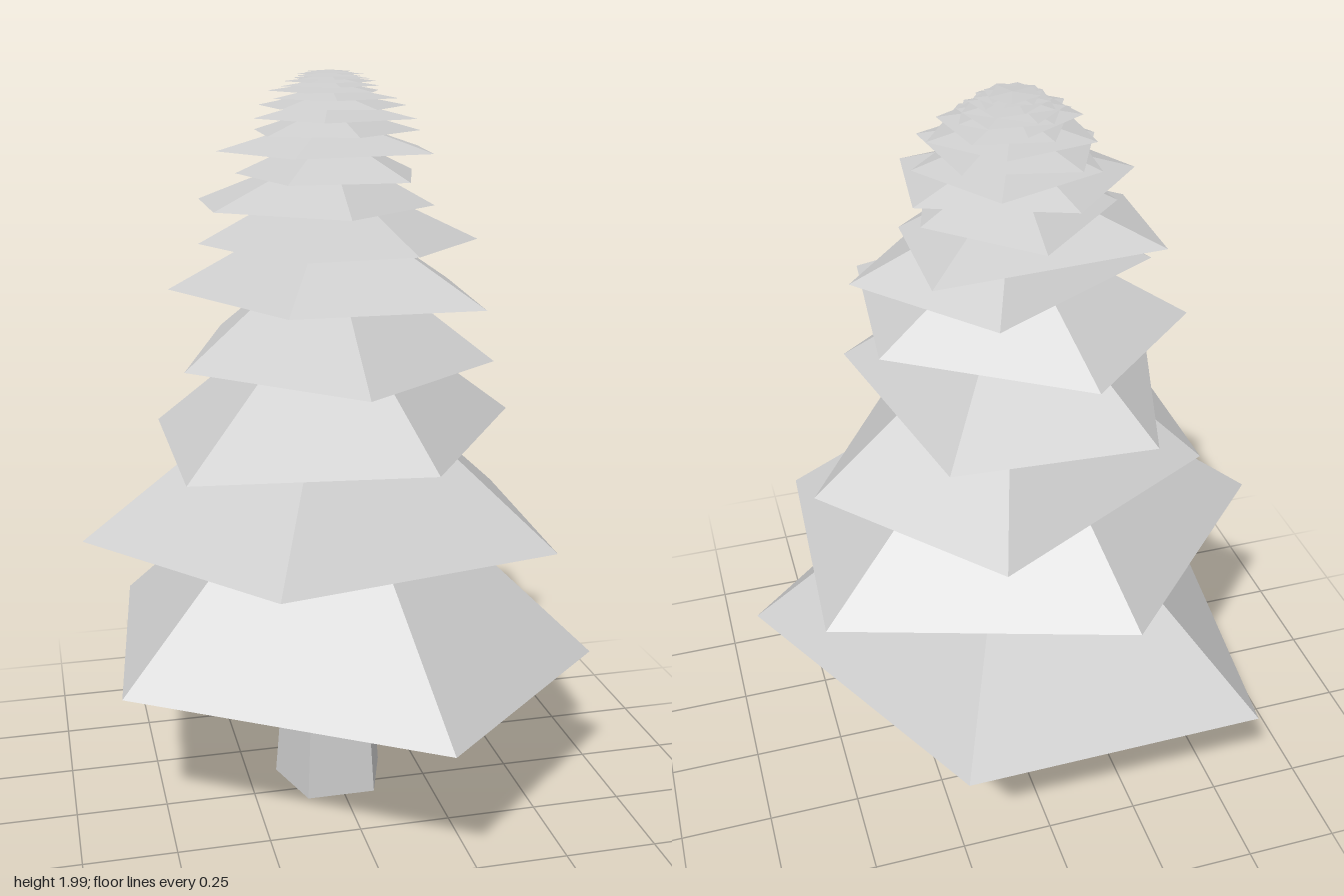
import * as THREE from 'three';

const CX = -0.01, CZ = -0.07;   // trunk axis
const TIERS = 21, SIDES = 5;

// Rim corners [x, z] of the large lower tiers
const RIMS = [
  [[0.69, 0.145], [0.14, 0.64], [-0.62, 0.15], [-0.53, -0.64], [0.27, -0.645]],
  [[0.525, 0.28], [-0.25, 0.445], [-0.69, -0.1], [-0.19, -0.605], [0.56, -0.37]],
  [[0.16, 0.4], [-0.455, 0.335], [-0.455, -0.29], [0.16, -0.61], [0.535, -0.185]],
  [[0.386, 0.12], [-0.03, 0.455], [-0.42, 0.067], [-0.24, -0.51], [0.26, -0.48]],
  [[0.31, 0.275], [-0.19, 0.275], [-0.425, -0.2], [-0.095, -0.49], [0.355, -0.2]],
  [[0.39, -0.055], [0.15, 0.22], [-0.18, 0.25], [-0.35, -0.13], [0.11, -0.375]],
  [[0.25, 0.01], [-0.03, 0.26], [-0.33, 0.03], [-0.326, -0.28], [0.25, -0.32]],
  [[0.135, 0.185], [-0.17, 0.18], [-0.245, -0.15], [0, -0.375], [0.235, -0.16]],
];

// Small seeded generator for the uneven upper rims
function makeRandom(seed) {
  return () => (seed = (seed * 16807) % 2147483647) / 2147483647;
}

function makeRim(i, random) {
  const radius = 0.69 * Math.pow(0.89, i), rim = [];
  for (let k = 0; k < SIDES; k++) {
    const a = (k + i * 0.45 + (random() - 0.5) * 0.25) * Math.PI * 2 / SIDES;
    const r = radius * (0.9 + random() * 0.2);
    rim.push([CX + r * Math.cos(a), CZ + r * Math.sin(a)]);
  }
  return rim;
}

// Open pyramid from a rim up to an apex on the trunk axis
function makeTier(rim, y, rise) {
  const pos = [];
  rim.forEach(([x, z], k) => {
    const [nx, nz] = rim[(k + 1) % rim.length];
    pos.push(CX, y + rise, CZ, nx, y, nz, x, y, z);
  });
  const g = new THREE.BufferGeometry();
  g.setAttribute('position', new THREE.Float32BufferAttribute(pos, 3));
  g.computeVertexNormals();
  return g;
}

export function createModel() {
  const group = new THREE.Group();
  group.name = 'coniferTree';
  const grey = new THREE.MeshStandardMaterial({
    color: 0xcccccc, flatShading: true, side: THREE.DoubleSide });
  grey.name = 'plain grey';

  // Trunk: five-sided spike running through every tier, open underneath
  const trunk = new THREE.Mesh(new THREE.ConeGeometry(0.163, 1.98, SIDES, 1, true), grey);
  trunk.name = 'trunk';
  trunk.rotation.y = Math.PI;
  trunk.position.set(CX, 0.99, CZ);
  group.add(trunk);

  // Branch tiers: spacing shrinks steadily towards the tip
  const random = makeRandom(17);
  for (let i = 0; i < TIERS; i++) {
    const left = 1.59 * Math.pow(0.775, i);
    const rim = RIMS[i] || makeRim(i, random);
    const tier = new THREE.Mesh(makeTier(rim, 2 - left, left * 0.43), grey);
    tier.name = 'branchTier' + (i + 1);
    group.add(tier);
  }
  return group;
}
